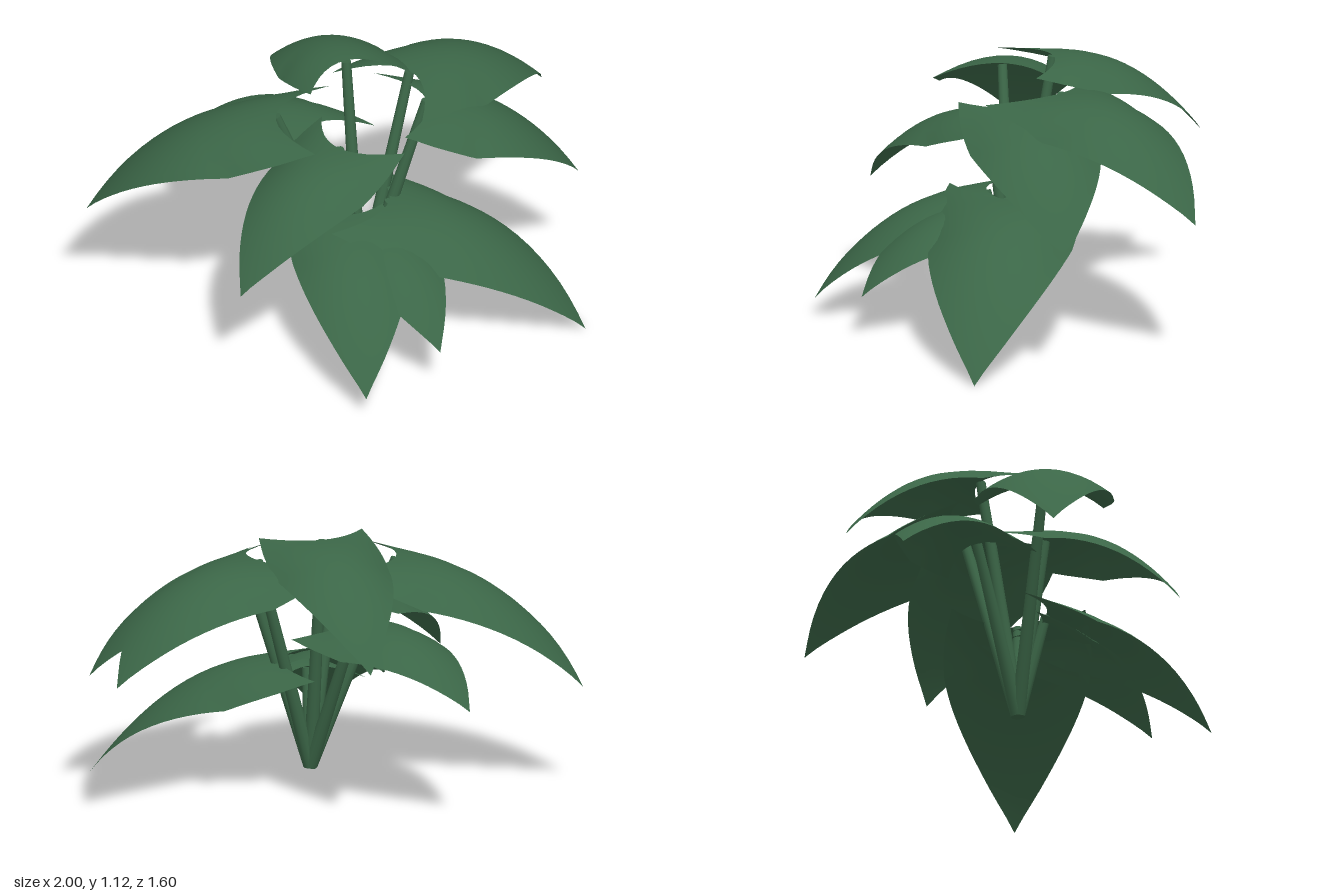
import * as THREE from 'three';

const green = new THREE.MeshStandardMaterial({ color: 0x3b6647, side: THREE.DoubleSide });
green.name = 'leafGreen';

// Half outline of a leaf: (midrib distance, edge distance, half width), from notched base to tip
const outline = new THREE.CatmullRomCurve3([
  [0, -0.19, 0.258], [0.08, -0.05, 0.28], [0.2, 0.1, 0.286], [0.33, 0.25, 0.27],
  [0.46, 0.4, 0.233], [0.58, 0.54, 0.175], [0.69, 0.67, 0.095], [0.78, 0.78, 0],
].map((p) => new THREE.Vector3(...p)));
const LENGTH = 0.78;
const BEND = 0.62;

// Arched, cupped blade growing along +z from its stem joint, pitched so the tip falls by drop
function leafBlade(length, drop, width) {
  const rows = 20, cols = 12, pos = [], index = [];
  const pitch = BEND - drop / length;
  for (let i = 0; i <= rows; i++) {
    const o = outline.getPoint(i / rows);
    const cup = 0.02 + 0.09 * Math.min(1, i / rows / 0.35);
    for (let j = 0; j <= cols; j++) {
      const v = (j / cols) * 2 - 1;
      const t = (o.x + (o.y - o.x) * v * v) / LENGTH;
      const across = v * o.z;
      const sag = cup * (across / 0.27) ** 2 * width;
      const rise = length * (pitch * t - BEND * Math.max(0, t) ** 2.25);
      pos.push(across * width, rise - sag, t * length);
      if (i < rows && j < cols) {
        const a = i * (cols + 1) + j, b = a + cols + 1;
        index.push(a, b, a + 1, b, b + 1, a + 1);
      }
    }
  }
  const g = new THREE.BufferGeometry();
  g.setAttribute('position', new THREE.Float32BufferAttribute(pos, 3));
  g.setIndex(index);
  g.computeVertexNormals();
  return g;
}

// Straight tapered stem between two points
function stemMesh(from, to) {
  const dir = to.clone().sub(from);
  const mesh = new THREE.Mesh(new THREE.CylinderGeometry(0.02, 0.03, dir.length(), 10), green);
  mesh.position.copy(from).addScaledVector(dir, 0.5);
  mesh.quaternion.setFromUnitVectors(new THREE.Vector3(0, 1, 0), dir.normalize());
  mesh.name = 'stem';
  return mesh;
}

export function createModel() {
  const model = new THREE.Group();
  model.name = 'leafyPlant';
  const root = new THREE.Vector3(0.055, 0.1, 0.025);
  // name, stem top, leaf tip, width
  const leaves = [
    ['upperRightLeaf', [-0.29, 0.985, -0.04], [-1, 0.47, -0.37], 1],
    ['upperLeftLeaf', [0.31, 1.035, -0.11], [1, 0.64, -0.465], 1],
    ['upperBackLeaf', [0.05, 1.115, -0.15], [0.01, 0.72, -0.8], 0.86],
    ['middleLeftLeaf', [0.33, 0.99, 0.05], [0.975, 0.53, 0.09], 0.97],
    ['middleBackLeaf', [-0.07, 0.77, -0.23], [-0.42, 0.52, -0.76], 0.85],
    ['middleFrontLeaf', [-0.06, 0.855, 0.09], [-0.6, 0.45, 0.43], 0.85],
    ['lowerFrontLeaf', [-0.03, 0.535, 0.11], [-0.18, 0.09, 0.8], 0.87],
    ['lowerInnerLeaf', [0.05, 0.5, 0.1], [0.17, 0.19, 0.71], 0.76],
    ['lowerLeftLeaf', [0.16, 0.55, 0.08], [0.885, 0, 0.45], 1.06],
  ];
  for (const [name, top, tip, width] of leaves) {
    const joint = new THREE.Vector3(...top);
    const dx = tip[0] - top[0], dz = tip[2] - top[2];
    const blade = new THREE.Mesh(leafBlade(Math.hypot(dx, dz), top[1] - tip[1], width), green);
    blade.name = 'blade';
    blade.position.copy(joint);
    blade.rotation.y = Math.atan2(dx, dz);
    const group = new THREE.Group();
    group.name = name;
    group.add(blade, stemMesh(root, joint.clone().setY(top[1] - 0.005)));
    model.add(group);
  }
  return model;
}
